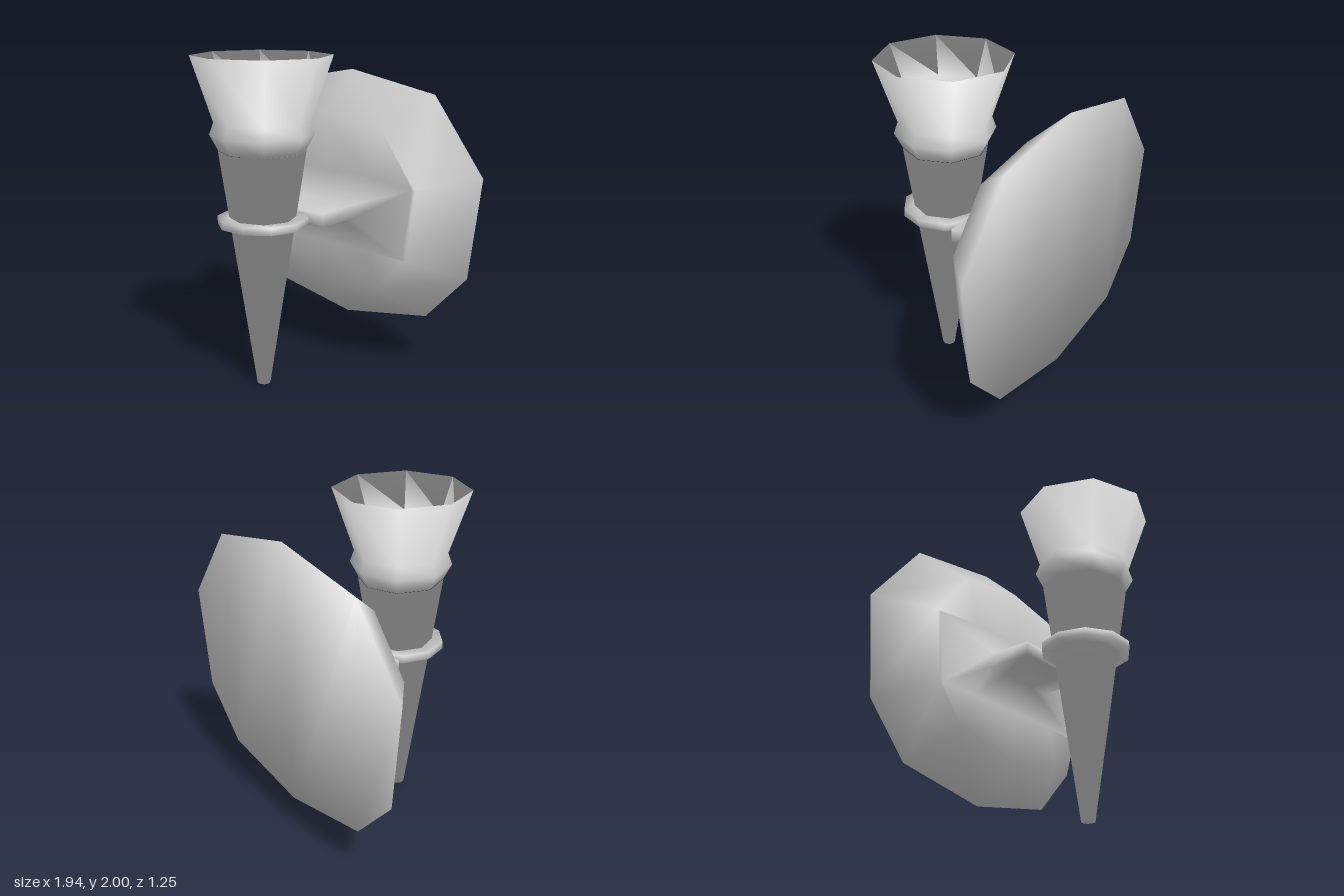
import * as THREE from 'three';

const TORCH_Z = 0.215;
const MID_Y = 1.05;

function makeMesh(name, geometry) {
  const mesh = new THREE.Mesh(geometry, new THREE.MeshStandardMaterial({ color: 0xcccccc }));
  mesh.name = name;
  return mesh;
}

// Turned part: each profile point is [radius, y, slope], where slope is
// the angle in degrees by which its smooth normal tilts up from outward
function turned(name, profile, sides, start = 0) {
  const points = profile.map(([r, y]) => new THREE.Vector2(r, y));
  const geometry = new THREE.LatheGeometry(points, sides, start);
  const normal = geometry.attributes.normal;
  for (let i = 0; i < normal.count; i++) {
    const slope = THREE.MathUtils.degToRad(profile[i % profile.length][2]);
    const phi = start + Math.floor(i / profile.length) * Math.PI * 2 / sides;
    normal.setXYZ(i, Math.sin(phi) * Math.cos(slope), Math.sin(slope), Math.cos(phi) * Math.cos(slope));
  }
  const mesh = makeMesh(name, geometry);
  mesh.position.z = TORCH_Z;
  return mesh;
}

// Ten-point ring from the six points of its +x half, listed top to bottom
function ring(half, z, scale = 1) {
  const mirrored = half.slice(1, -1).reverse().map(([x, y]) => [-x, y]);
  return [...half, ...mirrored].map(([x, y]) => [x * scale, MID_Y + (y - MID_Y) * scale, z]);
}

function createPlate() {
  const rim = [[0, 1.865], [0.62, 1.75], [0.97, 1.29], [0.9, 0.66], [0.62, 0.35], [0, 0.235]];
  const face = [[0, 1.26], [0.35, 1.26], [0.66, 1.22], [0.61, 0.78], [0.35, 0.79], [0, 0.79]];
  const hub = [[0, 1.075], [0.13, 1.075], [0.262, 1.075], [0.262, 0.99], [0.13, 0.99], [0, 0.99]];
  // Arm tip, arm root, raised face, edge of the face, rim
  const rings = [
    ring(hub, -0.02),
    ring(hub, -0.31),
    ring(face, -0.351),
    ring(rim, -0.355, 0.703),
    ring(rim, -0.624),
  ];
  const n = rings[0].length;
  const last = (rings.length - 1) * n;
  const index = [];
  for (let a = 0; a < last; a++) {
    const b = a % n === n - 1 ? a + 1 - n : a + 1;
    index.push(a, b, a + n, b, b + n, a + n);
  }
  // Close the arm tip and the back with upright strips across the ring
  const columns = [[2, 3], [1, 4], [0, 5], [9, 6], [8, 7]];
  for (let i = 0; i < columns.length - 1; i++) {
    const [a, b] = columns[i], [c, d] = columns[i + 1];
    index.push(a, c, b, b, c, d);
    index.push(last + a, last + b, last + c, last + b, last + d, last + c);
  }
  const geometry = new THREE.BufferGeometry();
  geometry.setAttribute('position', new THREE.Float32BufferAttribute(rings.flat(2), 3));
  geometry.setIndex(index);
  geometry.computeVertexNormals();
  // Soft rim: normals lean outward and a little to the back
  rings.at(-1).forEach(([x, y], j) => {
    const lean = new THREE.Vector3(x, y - MID_Y, 0).normalize().setZ(-0.28).normalize();
    geometry.attributes.normal.setXYZ(last + j, lean.x, lean.y, lean.z);
  });
  return makeMesh('wallPlate', geometry);
}

export function createModel() {
  const model = new THREE.Group();
  model.name = 'wallTorch';

  // Tapered handle
  model.add(turned('handle', [
    [0, 0, -90], [0.04, 0, -52], [0.257, 1.455, -48],
  ], 8));

  // Bulging collar that flares into an open, knife-edged cup
  model.add(turned('cup', [
    [0, 1.455, -90], [0.254, 1.455, -48], [0.305, 1.55, 5], [0.28, 1.62, 25],
    [0.408, 2, 40], [0.315, 1.78, 125], [0, 1.74, 90],
  ], 8));

  // Ring that grips the handle
  model.add(turned('holderRing', [
    [0.18, 1.015, -120], [0.27, 1.015, -25], [0.27, 1.06, 25], [0.18, 1.06, 120], [0.18, 1.015, -120],
  ], 10, Math.PI / 2));

  // Domed wall plate with its flat arm
  model.add(createPlate());

  return model;
}
